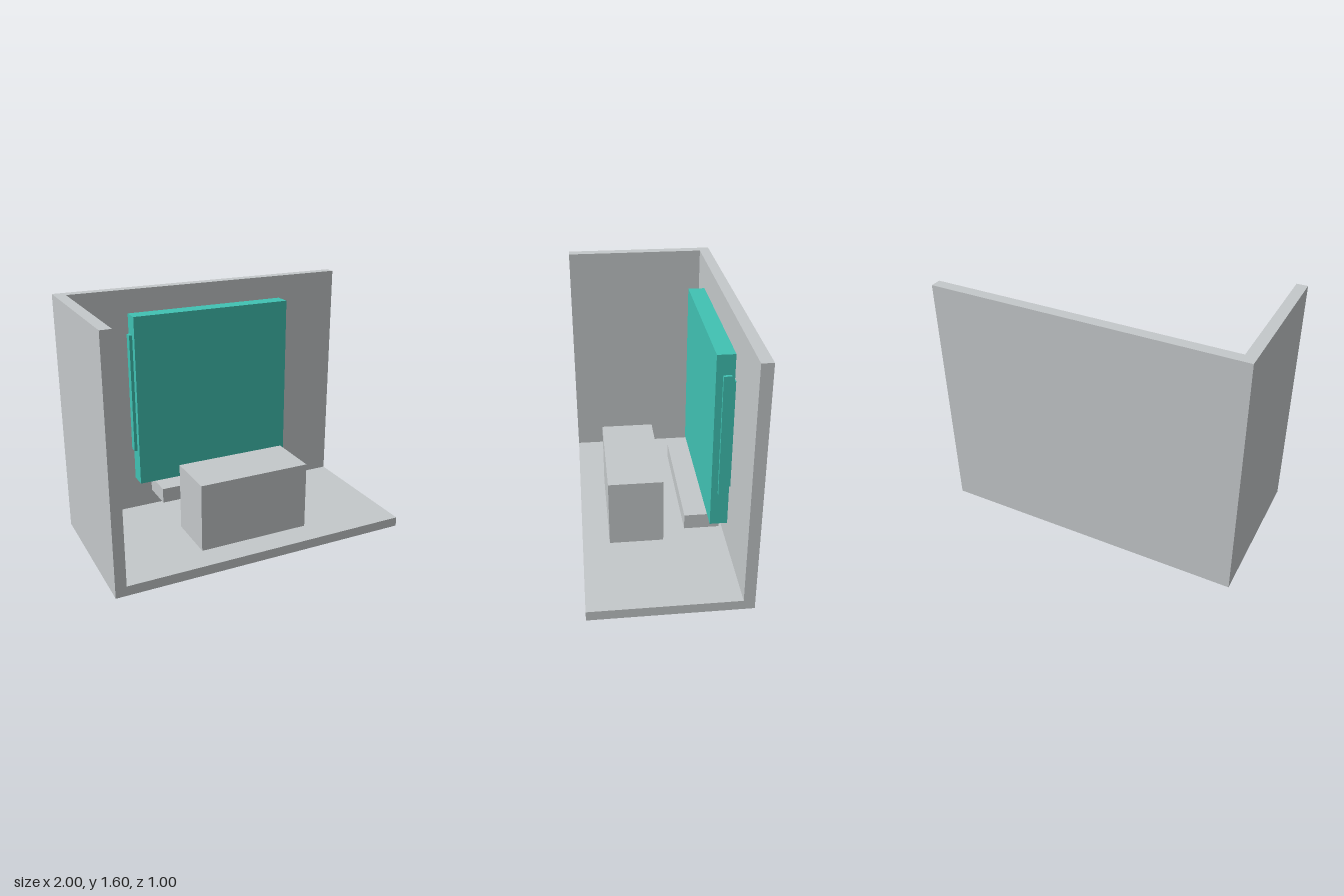
import * as THREE from 'three';

export function createModel() {
  const model = new THREE.Group();
  const grey = new THREE.MeshStandardMaterial({ color: 0xc4c8ca });
  grey.name = 'light grey';
  const teal = new THREE.MeshStandardMaterial({ color: 0x40c2b3 });
  teal.name = 'teal';

  // Adds a box given its extents along each axis
  function box(name, material, [x0, x1], [y0, y1], [z0, z1]) {
    const mesh = new THREE.Mesh(new THREE.BoxGeometry(x1 - x0, y1 - y0, z1 - z0), material);
    mesh.position.set((x0 + x1) / 2, (y0 + y1) / 2, (z0 + z1) / 2);
    mesh.name = name;
    model.add(mesh);
  }

  // Room shell: floor, back wall and one side wall
  box('floor', grey, [-0.93, 1], [0, 0.063], [-0.43, 0.5]);
  box('backWall', grey, [-0.93, 1], [0, 1.6], [-0.5, -0.43]);
  box('sideWall', grey, [-1, -0.93], [0, 1.6], [-0.5, 0.5]);

  // Block on the floor and the ledge under the panel
  box('block', grey, [-0.373, 0.373], [0.063, 0.513], [-0.025, 0.325]);
  box('ledge', grey, [-0.447, 0.447], [0.2, 0.3], [-0.372, -0.15]);

  // Upright panel with a shallow back plate and a strip on each edge
  box('panel', teal, [-0.55, 0.55], [0.3, 1.452], [-0.405, -0.295]);
  box('panelBackPlate', teal, [-0.547, 0.547], [0.57, 1.282], [-0.413, -0.405]);
  for (const side of [-1, 1]) {
    const xs = side < 0 ? [-0.57, -0.55] : [0.55, 0.57];
    box(side < 0 ? 'rightEdgeStrip' : 'leftEdgeStrip', teal, xs, [0.527, 1.325], [-0.385, -0.336]);
  }
  return model;
}
